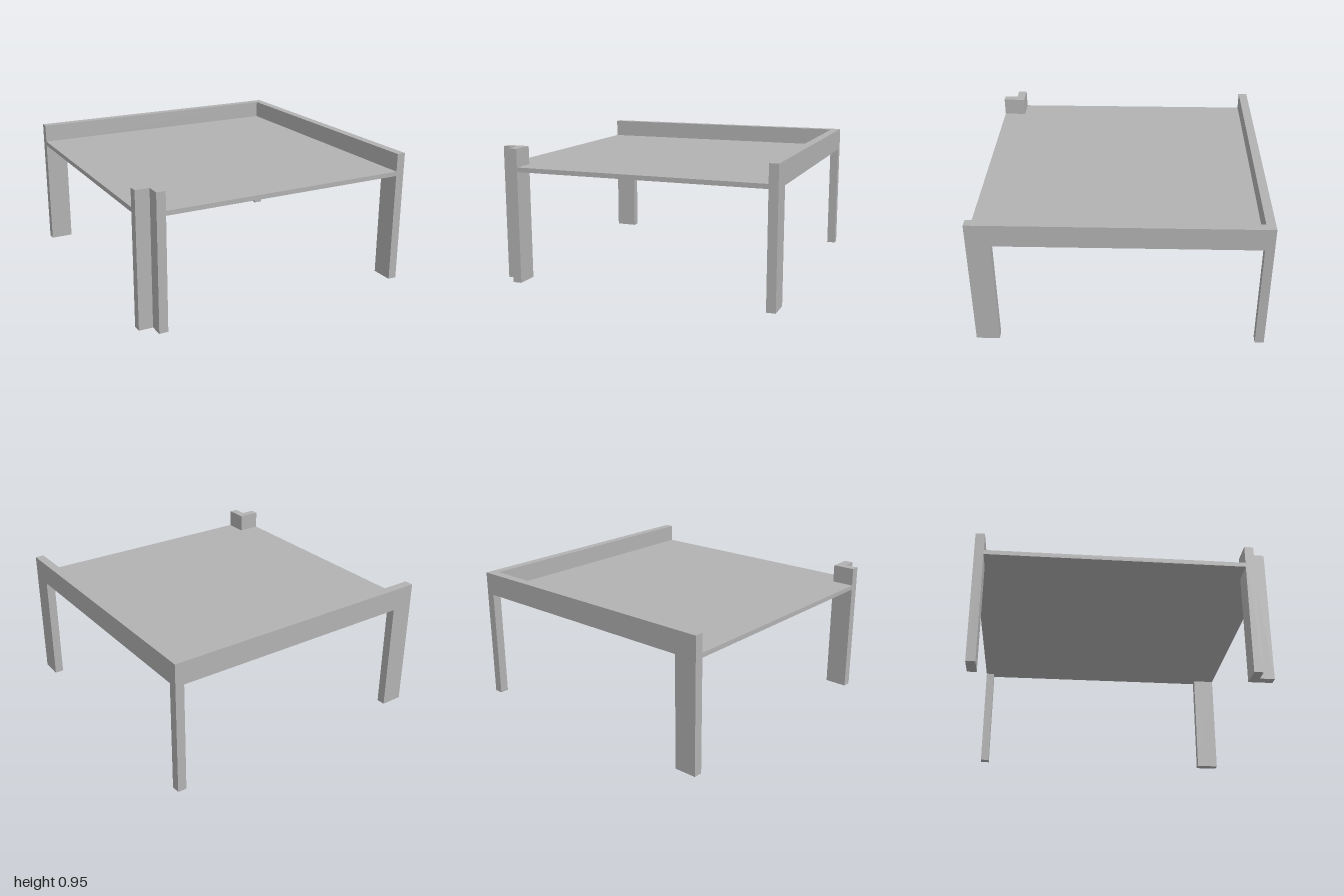
import * as THREE from 'three';

const T = 0.063;      // board thickness of rails and legs
const W = 0.162;      // leg width
const UNDER = 0.789;  // underside of the tabletop
const DECK = 0.821;   // upper face of the tabletop
const TOP = 0.949;    // top of the rails

export function createModel() {
  const grey = new THREE.MeshStandardMaterial({ color: 0xb2b2b2 });
  grey.name = 'grey';
  const group = new THREE.Group();
  group.name = 'table';

  const add = (name, geometry) => {
    const mesh = new THREE.Mesh(geometry, grey);
    mesh.name = name;
    group.add(mesh);
  };
  const box = (name, x0, x1, y0, y1, z0, z1) => {
    const g = new THREE.BoxGeometry(x1 - x0, y1 - y0, z1 - z0);
    add(name, g.translate((x0 + x1) / 2, (y0 + y1) / 2, (z0 + z1) / 2));
  };
  // Upright prism from an outline of [x, z] points
  const prism = (name, outline, y0, y1) => {
    const shape = new THREE.Shape(outline.map(([x, z]) => new THREE.Vector2(x, -z)));
    const g = new THREE.ExtrudeGeometry(shape, { depth: y1 - y0, bevelEnabled: false });
    add(name, g.rotateX(-Math.PI / 2).translate(0, y0, 0));
  };

  // Tabletop, cut out around the notched corner post
  const e = 1 - T, c = 1 - W, n = c - T + 2 * T; // n: inner corner of the notch
  prism('tabletop', [[-1, -e], [e, -e], [e, 1], [-c, 1], [-c, c], [-1, c]], UNDER, DECK);

  // Raised rails along the back and the left side
  box('backRail', -1, 1, UNDER, TOP, -1, -e);
  box('sideRail', e, 1, UNDER, TOP, -e, 1);

  // Legs under the rails
  box('backLeftLeg', e, 1, 0, UNDER, -1, -e);
  box('frontLeftLeg', e, 1, 0, UNDER, c, 1);
  box('backRightLeg', -1, -c, 0, UNDER, -1, -e);

  // L-shaped corner post, open toward the outside
  prism('frontRightPost', [[-1, c], [-c, c], [-c, 1], [-n, 1], [-n, n], [-1, n]], 0, TOP);

  return group;
}
